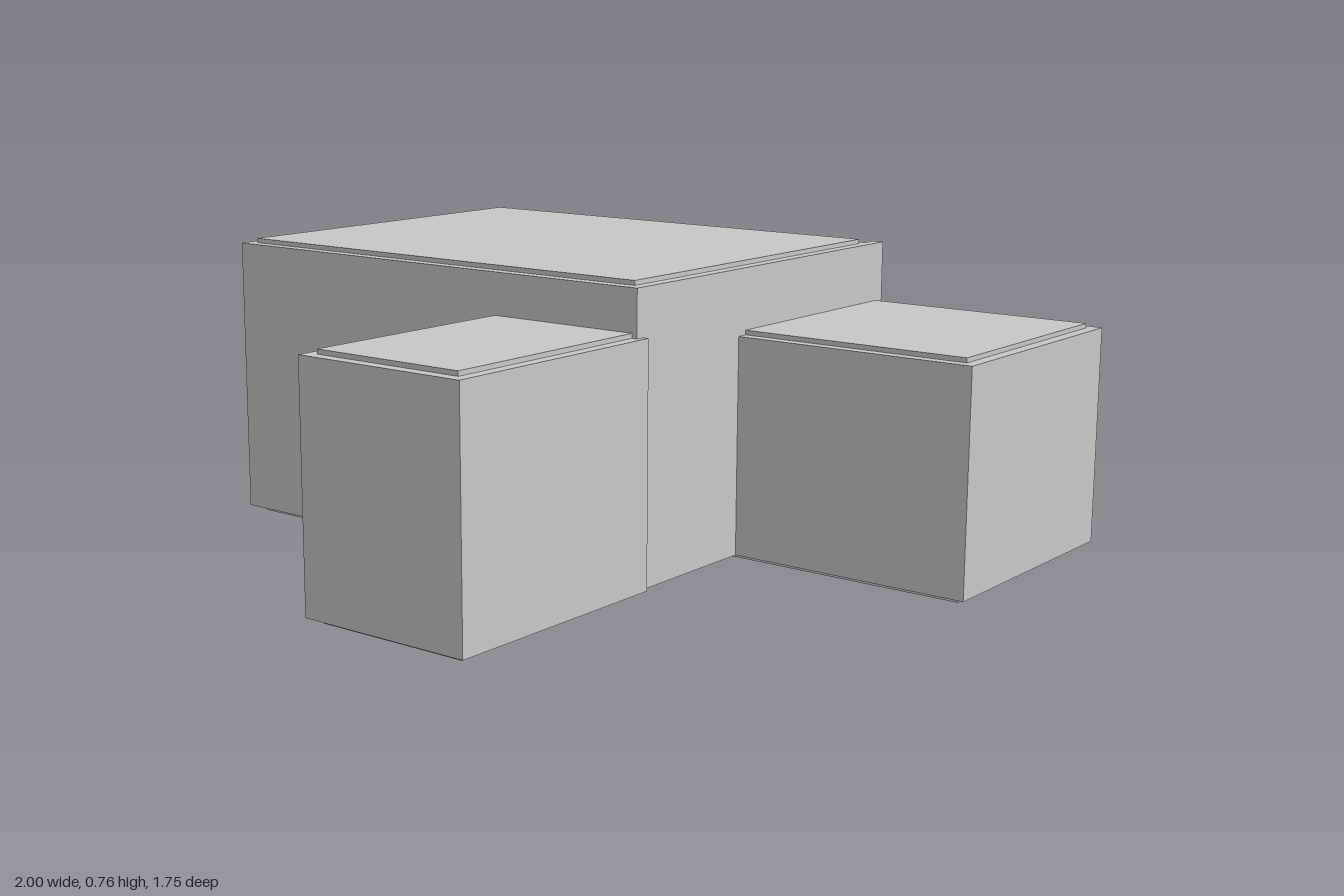
import * as THREE from 'three';

const plaster = new THREE.MeshStandardMaterial({ color: 0xc8c8c6 });
plaster.name = 'pale grey';

const RECESS = 0.02; // depth of the window and door openings
const BASE = 0.015;  // height of the floor plinth

// Box given by its limits on each axis
function block(name, [x0, x1], [y0, y1], [z0, z1]) {
  const mesh = new THREE.Mesh(new THREE.BoxGeometry(x1 - x0, y1 - y0, z1 - z0), plaster);
  mesh.position.set((x0 + x1) / 2, (y0 + y1) / 2, (z0 + z1) / 2);
  mesh.name = name;
  return mesh;
}

// Closed list of [z, y] corners
const corners = (points) => points.map(([z, y]) => new THREE.Vector2(z, y));
const rect = ([z0, z1], [y0, y1]) => corners([[z0, y0], [z1, y0], [z1, y1], [z0, y1]]);

// Wall facing -x, cut from a [z, y] outline, with its outer face at x
function sideWall(name, x, outline, holes = []) {
  const shape = new THREE.Shape(outline);
  holes.forEach((hole) => shape.holes.push(new THREE.Path(hole)));
  const geometry = new THREE.ExtrudeGeometry(shape, { depth: RECESS, bevelEnabled: false });
  geometry.rotateY(-Math.PI / 2);
  const mesh = new THREE.Mesh(geometry, plaster);
  mesh.position.x = x + RECESS;
  mesh.name = name;
  return mesh;
}

export function createModel() {
  const house = new THREE.Group();
  house.name = 'house';

  // Main hall, with a partition wall running past its back corner
  const hall = new THREE.Group();
  hall.name = 'mainHall';
  const hallZ = [-0.83, 0.235];
  const panes = [];
  for (const z of [[-0.63, -0.3], [-0.27, 0.06]]) {
    for (const y of [[0.23, 0.445], [0.465, 0.68]]) panes.push(rect(z, y));
  }
  hall.add(
    block('hallBody', [-1 + RECESS, 0.32], [BASE, 0.75], hallZ),
    sideWall('windowWall', -1, rect(hallZ, [BASE, 0.75]), panes),
    block('partitionWall', [0.32, 0.35], [BASE, 0.75], [-0.875, 0.235]),
    block('hallRoof', [-0.97, 0.32], [0.75, 0.762], [-0.8, 0.205]),
    block('hallFloor', [-0.97, 0.32], [0, BASE], [-0.8, 0.205]),
  );

  // Side room
  const side = new THREE.Group();
  side.name = 'sideRoom';
  side.add(
    block('sideBody', [0.35, 1], [BASE, 0.58], [-0.875, -0.185]),
    block('sideRoof', [0.35, 0.97], [0.58, 0.592], [-0.845, -0.215]),
    block('sideFloor', [0.32, 0.97], [0, BASE], [-0.845, -0.215]),
  );

  // Front porch with a doorway in its -x wall
  const porch = new THREE.Group();
  porch.name = 'frontPorch';
  const doorWall = corners([
    [0.21, BASE], [0.51, BASE], [0.51, 0.52], [0.71, 0.52],
    [0.71, BASE], [0.87, BASE], [0.87, 0.63], [0.21, 0.63],
  ]);
  porch.add(
    block('porchBody', [-0.12 + RECESS, 0.365], [BASE, 0.63], [0.21, 0.87]),
    sideWall('doorWall', -0.12, doorWall),
    block('porchRoof', [-0.09, 0.335], [0.63, 0.642], [0.235, 0.84]),
    block('porchFloor', [-0.09, 0.335], [0, BASE], [0.205, 0.84]),
  );

  house.add(hall, side, porch);
  return house;
}
